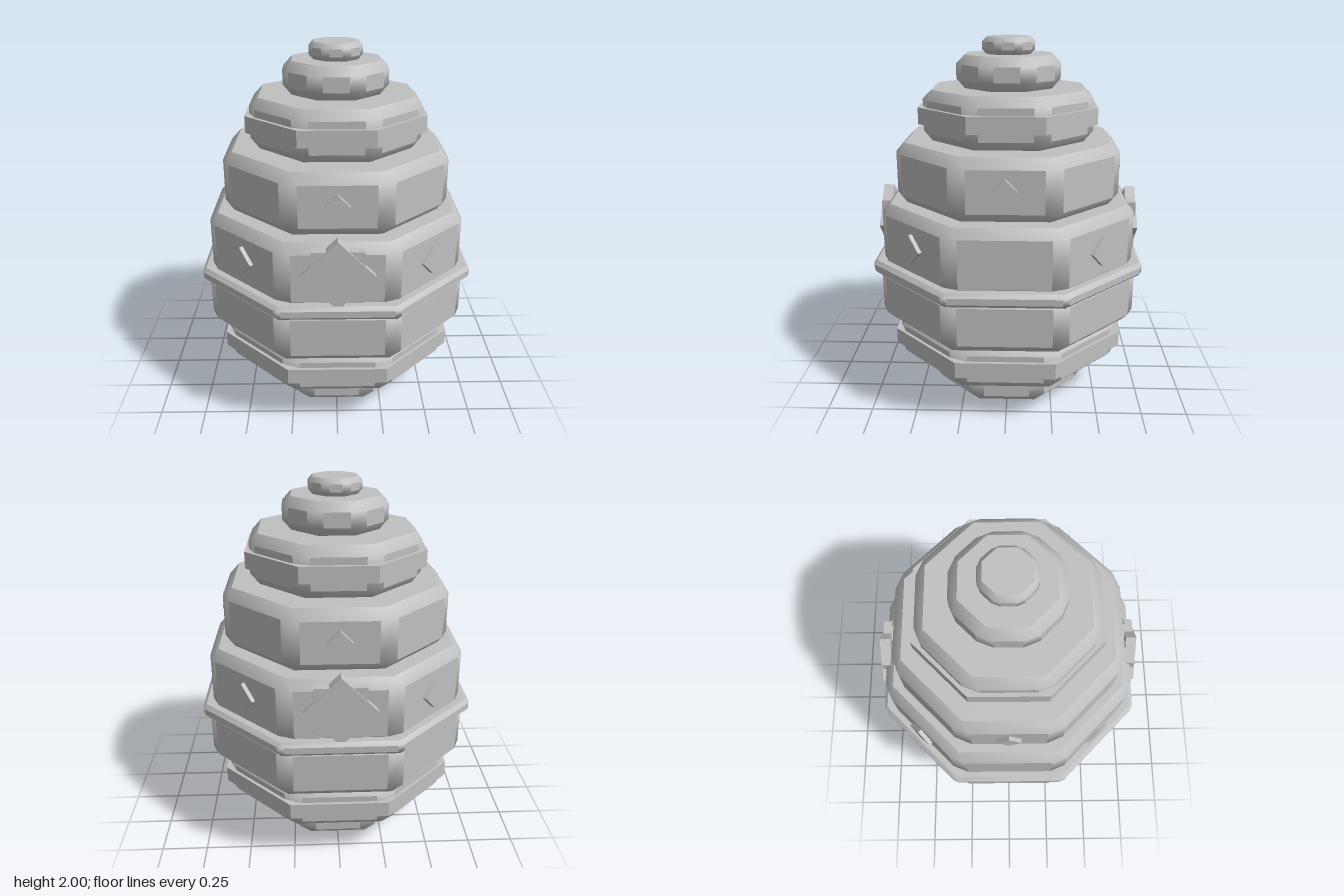
import * as THREE from 'three';
import { mergeGeometries } from 'three/addons/utils/BufferGeometryUtils.js';

const TAN = Math.tan(Math.PI / 8);

// Octagonal slab: flat panels, with smooth bevels of size c along every edge.
function bevelledOctagon(w, y0, y1, c) {
  const pos = [], panels = [], bevels = [];
  const half = w * TAN - c, inner = w - c;
  for (let i = 0; i < 8; i++) {
    const a = i * Math.PI / 4, s = Math.sin(a), k = Math.cos(a);
    const put = (out, along, y) => pos.push(s * out + k * along, y, k * out - s * along);
    put(w, -half, y0 + c);
    put(w, half, y0 + c);
    put(w, half, y1 - c);
    put(w, -half, y1 - c);
    put(inner, inner * TAN, y1); // top corner
    put(inner, inner * TAN, y0); // bottom corner
  }
  const id = (i, j) => ((i + 8) % 8) * 6 + j;
  const quad = (list, p, q, r, s) => list.push(p, q, r, p, r, s);
  for (let i = 0; i < 8; i++) {
    const [bl, br, tr, tl, top, bot] = [0, 1, 2, 3, 4, 5].map(j => id(i, j));
    const nextBL = id(i + 1, 0), nextTL = id(i + 1, 3);
    quad(panels, bl, br, tr, tl);
    quad(bevels, tl, tr, top, id(i - 1, 4));
    quad(bevels, id(i - 1, 5), bot, br, bl);
    quad(bevels, br, nextBL, nextTL, tr);
    bevels.push(tr, nextTL, top, nextBL, br, bot);
    if (i > 0 && i < 7) {
      panels.push(id(0, 4), top, id(i + 1, 4));
      panels.push(id(0, 5), id(i + 1, 5), bot);
    }
  }
  const make = index => {
    const g = new THREE.BufferGeometry();
    g.setAttribute('position', new THREE.Float32BufferAttribute(pos, 3));
    g.setIndex(index);
    return g;
  };
  const flat = make(panels).toNonIndexed();
  flat.computeVertexNormals();
  const smooth = make(bevels);
  smooth.computeVertexNormals();
  return mergeGeometries([flat, smooth.toNonIndexed()]);
}

// Sharp octagonal band with flat sides facing the axes.
function octagonBand(w, y0, y1) {
  const r = w / Math.cos(Math.PI / 8);
  const g = new THREE.CylinderGeometry(r, r, y1 - y0, 8, 1).toNonIndexed();
  g.rotateY(Math.PI / 8);
  g.translate(0, (y0 + y1) / 2, 0);
  g.computeVertexNormals();
  return g;
}

export function createModel() {
  const model = new THREE.Group();
  model.name = 'layeredEgg';
  const stone = new THREE.MeshStandardMaterial({ color: 0xc0c0c0 });
  stone.name = 'stone grey';

  const add = (name, geometry) => {
    const mesh = new THREE.Mesh(geometry, stone);
    mesh.name = name;
    model.add(mesh);
    return mesh;
  };

  // Stacked tiers: name, half width, bottom, top, bevel
  const tiers = [
    ['foot', 0.43, 0, 0.205, 0.05],
    ['lowerTier', 0.62, 0.205, 0.47, 0.055],
    ['bellyTier', 0.705, 0.47, 0.78, 0.05],
    ['waistRing', 0.737, 0.745, 0.82, 0.02],
    ['chestTier', 0.685, 0.775, 1.135, 0.05],
    ['shoulderTier', 0.6, 1.135, 1.465, 0.053],
    ['upperTier', 0.455, 1.465, 1.735, 0.05],
    ['cap', 0.28, 1.735, 1.91, 0.048],
    ['finial', 0.142, 1.91, 2, 0.025],
  ];
  for (const [name, ...size] of tiers) add(name, bevelledOctagon(...size));

  add('lowerBand', octagonBand(0.637, 0.295, 0.383));
  add('upperBand', octagonBand(0.475, 1.558, 1.647));

  // Square plate on the face at the given angle, spun about its own centre
  const plate = (name, angle, y, side, inner, outer, spin) => {
    const g = new THREE.BoxGeometry(side, side, outer - inner);
    g.rotateZ(spin);
    g.translate(0, y, (inner + outer) / 2);
    add(name, g).rotation.y = angle;
  };
  const diamond = Math.PI / 4;

  for (let i = 0; i < 4; i++) {
    const a = i * Math.PI / 2;
    plate('shoulderGem', a, 1.307, 0.09, 0.58, 0.622, diamond);
    plate('chestGem', a + Math.PI / 4, 0.962, 0.112, 0.665, 0.708, diamond);
  }

  // Crossed square medallions on the front and back
  for (const a of [0, Math.PI]) {
    plate('medallionSquare', a, 0.98, 0.264, 0.66, 0.71, 0);
    plate('medallionDiamond', a, 0.983, 0.264, 0.66, 0.718, diamond);
  }
  return model;
}
